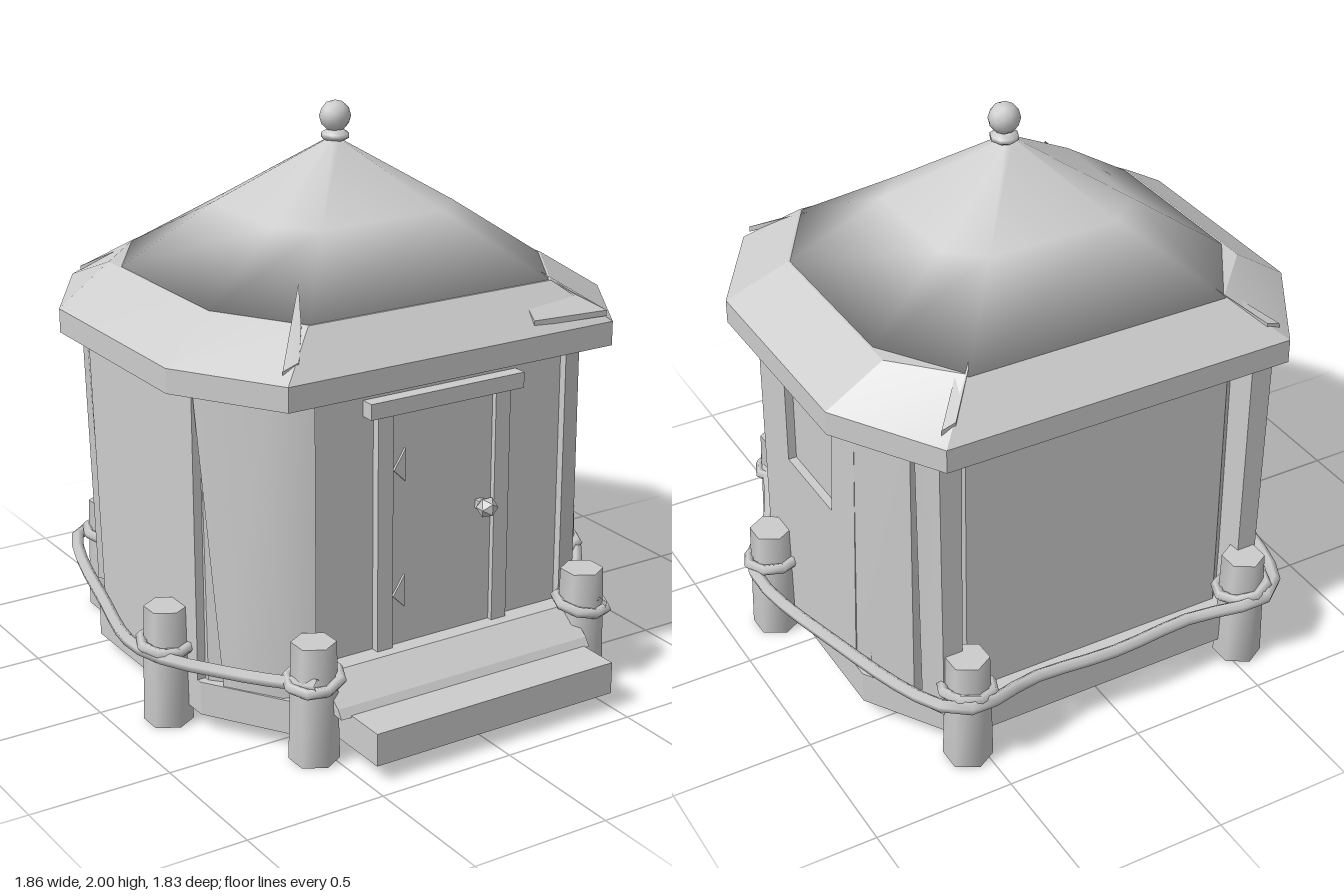
import * as THREE from 'three';
import { toCreasedNormals } from 'three/addons/utils/BufferGeometryUtils.js';

// Octagonal ring: half width, corner half width, side z range, front z, back z, height
function oct(wx, cx, sf, sb, zf, zb, y) {
  return [[wx, y, sf], [wx, y, sb], [cx, y, zb], [-cx, y, zb],
    [-wx, y, sb], [-wx, y, sf], [-cx, y, zf], [cx, y, zf]];
}

// Skin stacked rings from bottom to top and cap both ends
function loft(rings, crease) {
  const n = rings[0].length, idx = [], top = (rings.length - 1) * n;
  for (let i = 0; i < rings.length - 1; i++) {
    for (let j = 0; j < n; j++) {
      const a = i * n + j, b = i * n + (j + 1) % n;
      idx.push(a, b, b + n, a, b + n, a + n);
    }
  }
  for (let j = 1; j < n - 1; j++) idx.push(0, j + 1, j, top, top + j, top + j + 1);
  const g = new THREE.BufferGeometry();
  g.setAttribute('position', new THREE.Float32BufferAttribute(rings.flat(2), 3));
  g.setIndex(idx);
  g.computeVertexNormals();
  return crease ? toCreasedNormals(g, crease) : g;
}

export function createModel() {
  const group = new THREE.Group();
  const grey = new THREE.MeshStandardMaterial({ color: 0xcccccc });
  grey.name = 'plain grey';
  grey.side = THREE.DoubleSide;

  const add = (name, geo, x = 0, y = 0, z = 0) => {
    const m = new THREE.Mesh(geo, grey);
    m.name = name;
    m.position.set(x, y, z);
    group.add(m);
    return m;
  };
  const box = (name, x0, x1, y0, y1, z0, z1) =>
    add(name, new THREE.BoxGeometry(x1 - x0, y1 - y0, z1 - z0), (x0 + x1) / 2, (y0 + y1) / 2, (z0 + z1) / 2);

  // Floor platform and walls
  add('floor', loft([
    oct(0.77, 0.56, 0.3, -0.45, 0.63, -0.78, 0.06),
    oct(0.77, 0.56, 0.3, -0.45, 0.63, -0.78, 0.18)], 0.4));
  add('walls', loft([
    oct(0.74, 0.5, 0.3, -0.46, 0.57, -0.7, 0.17),
    oct(0.74, 0.5, 0.28, -0.48, 0.57, -0.7, 1.3)], 0.4));

  // Side panels; the one on the right has a window recess
  for (const s of [1, -1]) {
    const outline = [[-0.28, 0.17], [0.4, 0.17], [0.46, 1.25]];
    if (s > 0) outline.push([0.3, 1.25], [0.26, 0.75], [-0.08, 0.75], [-0.08, 1.25]);
    outline.push([-0.28, 1.25]);
    const shape = new THREE.Shape(outline.map(p => new THREE.Vector2(...p)));
    const m = add('sidePanel', new THREE.ExtrudeGeometry(shape, { depth: 0.03, bevelEnabled: false }));
    m.rotation.y = Math.PI / 2;
    m.position.x = s > 0 ? 0.74 : -0.77;
  }

  // Leaning corner planks, front and back
  for (const s of [1, -1]) {
    const plank = (name, bottom, top) => {
      const ring = (pts, y) => {
        const r = pts.map(([x, z]) => [s * x, y, z]);
        return s > 0 ? r : r.reverse();
      };
      add(name, loft([ring(bottom, 0.17), ring(top, 1.25)], 0.7));
    };
    plank('frontCornerPlank',
      [[0.5, 0.54], [0.5, 0.6], [0.6, 0.55], [0.72, 0.37], [0.68, 0.35]],
      [[0.5, 0.54], [0.5, 0.6], [0.62, 0.52], [0.77, 0.28], [0.7, 0.28]]);
    plank('backCornerPlank',
      [[0.7, -0.36], [0.77, -0.39], [0.66, -0.62], [0.58, -0.62]],
      [[0.7, -0.42], [0.77, -0.46], [0.68, -0.67], [0.58, -0.66]]);
    plank('backCornerPost',
      [[0.54, -0.66], [0.62, -0.6], [0.66, -0.68], [0.62, -0.76], [0.55, -0.76]],
      [[0.54, -0.66], [0.64, -0.64], [0.68, -0.7], [0.63, -0.77], [0.55, -0.77]]);
  }

  // Door, frame, hinges and knob
  box('door', -0.2, 0.21, 0.2, 1.12, 0.56, 0.58);
  box('doorJamb', -0.26, -0.2, 0.2, 1.12, 0.55, 0.6);
  box('doorJamb', 0.21, 0.27, 0.2, 1.12, 0.55, 0.6);
  box('lintel', -0.3, 0.31, 1.115, 1.17, 0.55, 0.62);
  for (const y of [0.92, 0.47]) {
    const tri = new THREE.Shape([[-0.19, -0.01], [-0.145, -0.055], [-0.145, 0.06]].map(p => new THREE.Vector2(...p)));
    add('hinge', new THREE.ExtrudeGeometry(tri, { depth: 0.009, bevelEnabled: false }), 0, y, 0.58);
  }
  add('knob', new THREE.IcosahedronGeometry(0.038, 0), 0.16, 0.72, 0.63);
  box('knobStem', 0.145, 0.175, 0.705, 0.735, 0.57, 0.62);

  // Lower step, with a sloping upper step behind it
  box('lowerStep', -0.47, 0.49, 0.06, 0.175, 0.5, 0.92);
  const wedge = new THREE.Shape([[-0.5, 0.17], [-0.77, 0.17], [-0.75, 0.2], [-0.64, 0.28], [-0.5, 0.28]]
    .map(p => new THREE.Vector2(...p)));
  const upper = add('upperStep', new THREE.ExtrudeGeometry(wedge, { depth: 1.02, bevelEnabled: false }));
  upper.rotation.y = Math.PI / 2;
  upper.position.x = -0.51;

  // Smooth upper roof
  add('roof', loft([
    oct(0.1, 0.08, 0, -0.16, 0.05, -0.2, 1.4),
    oct(0.67, 0.48, 0.22, -0.4, 0.53, -0.69, 1.435),
    oct(0.36, 0.24, 0.12, -0.29, 0.23, -0.4, 1.65),
    oct(0.02, 0.014, -0.07, -0.09, -0.06, -0.1, 1.87)]));

  // Eaves band with a vertical edge and a sloping top
  add('eaves', loft([
    oct(0.6, 0.4, 0.2, -0.4, 0.45, -0.6, 1.25),
    oct(0.87, 0.64, 0.3, -0.47, 0.67, -0.84, 1.22),
    oct(0.87, 0.64, 0.3, -0.47, 0.67, -0.84, 1.305),
    oct(0.67, 0.48, 0.22, -0.48, 0.53, -0.68, 1.44)], 0.3));

  // Pointed slivers lying over the roof corners
  const sliver = pts => add('roofSliver', loft([pts.map(([x, y, z]) => [x, y - 0.02, z]), pts], 0.3));
  sliver([[0.39, 1.53, 0.34], [0.33, 1.35, 0.64], [0.62, 1.345, 0.66], [0.54, 1.4, 0.57]]);
  sliver([[-0.43, 1.54, 0.39], [-0.63, 1.34, 0.62], [-0.57, 1.36, 0.62], [-0.5, 1.44, 0.52]]);
  for (const s of [1, -1]) {
    sliver([[s * 0.36, 1.54, -0.49], [s * 0.63, 1.345, -0.79], [s * 0.58, 1.36, -0.79], [s * 0.47, 1.45, -0.67]]);
  }

  // Finial
  add('finialCollar', new THREE.SphereGeometry(0.052, 8, 5), 0.01, 1.88, -0.085).scale.y = 0.45;
  add('finialBall', new THREE.IcosahedronGeometry(0.055, 1), 0.01, 1.947, -0.085);

  // Short hexagonal posts with rope loops
  const posts = [[0.55, 0.665], [0.82, 0.16], [0.55, -0.795]];
  for (const s of [1, -1]) {
    posts.forEach(([x, z], i) => {
      add('post', toCreasedNormals(new THREE.CylinderGeometry(0.075, 0.085, 0.42, 6), 1.1), s * x, 0.21, z);
      const loop = add('ropeLoop', new THREE.TorusGeometry(0.09, 0.02, 5, 8), s * x, 0.29, z);
      loop.rotation.set(Math.PI / 2 + 0.12, 0.15 * s * (i - 1), 0);
    });
  }

  // Rope slung around the sides and back
  const half = [[0.58, 0.3, 0.74], [0.7, 0.25, 0.45], [0.9, 0.27, 0.16], [0.82, 0.25, -0.3], [0.62, 0.29, -0.88], [0.3, 0.26, -0.83]];
  const path = [...half, [0, 0.25, -0.84], ...half.map(([x, y, z]) => [-x, y, z]).reverse()]
    .map(p => new THREE.Vector3(...p));
  add('rope', new THREE.TubeGeometry(new THREE.CatmullRomCurve3(path), 48, 0.023, 5));

  return group;
}
